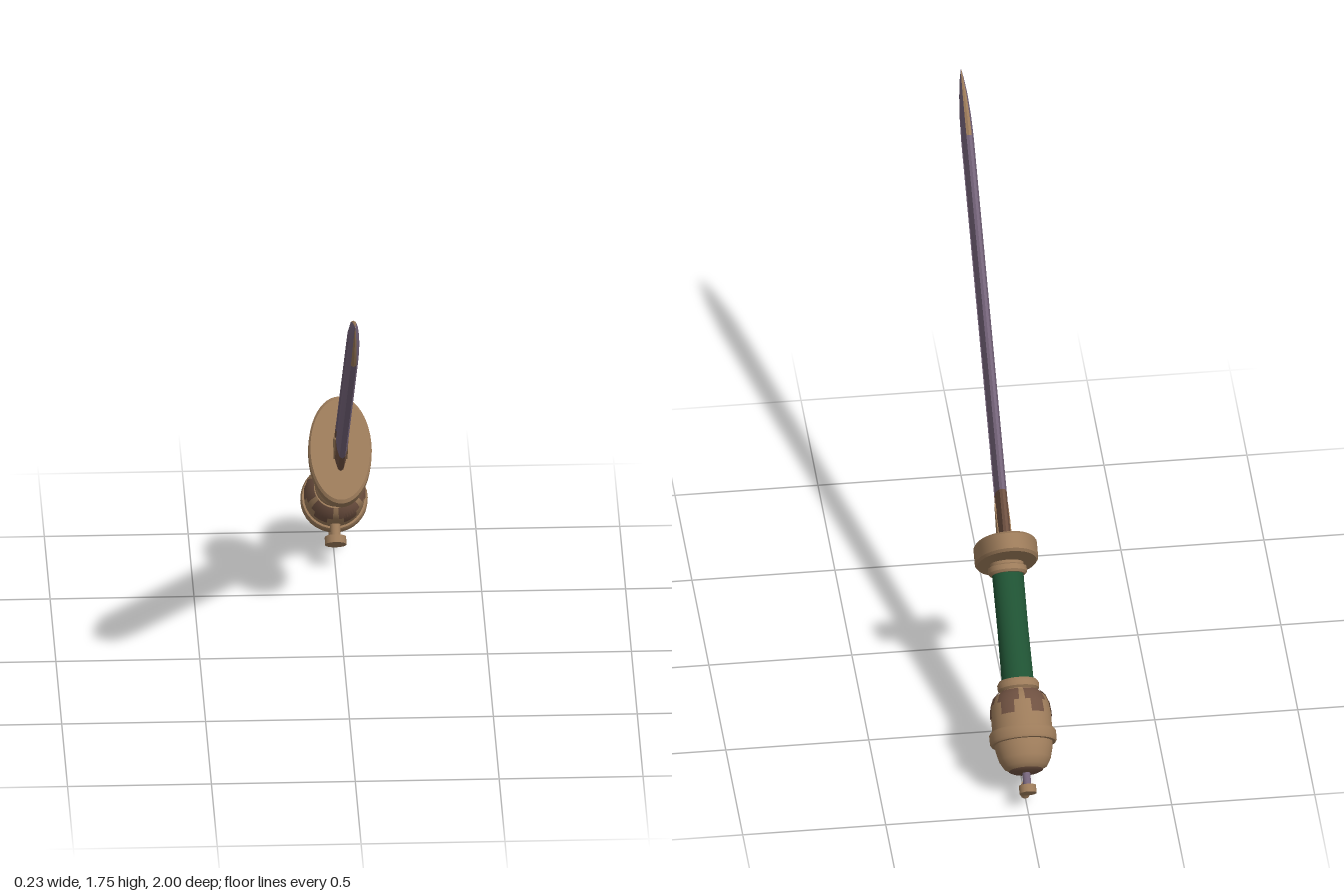
import * as THREE from 'three';
import { toCreasedNormals } from 'three/addons/utils/BufferGeometryUtils.js';

const mat = (name, color, side = THREE.FrontSide) => {
  const m = new THREE.MeshStandardMaterial({ color, side });
  m.name = name;
  return m;
};

export function createModel() {
  const steel = mat('purple steel', 0x75647a);
  const bronze = mat('bronze', 0x9c7b5a);
  const dark = mat('dark bronze', 0x6f5141, THREE.DoubleSide);
  const green = mat('green leather', 0x1f5233);

  // Local frame: y runs along the sword to the tip, z across the blade width.
  const sword = new THREE.Group();
  sword.name = 'sword';
  const add = (name, geo, material) => {
    const m = new THREE.Mesh(geo, material);
    m.name = name;
    sword.add(m);
    return m;
  };
  const lathe = (pts, seg = 32, start = 0, sweep = Math.PI * 2) =>
    new THREE.LatheGeometry(pts.map(p => new THREE.Vector2(p[0], p[1])), seg, start, sweep);
  const turned = (name, pts, material, seg) =>
    add(name, toCreasedNormals(lathe(pts, seg), 0.6), material);

  // Rod between two points in the (y, z) plane
  const rod = (name, a, b, r, material) => {
    const p = new THREE.Vector3(0, ...a), q = new THREE.Vector3(0, ...b);
    const m = add(name, new THREE.CylinderGeometry(r, r, p.distanceTo(q), 14), material);
    m.position.copy(p).add(q).multiplyScalar(0.5);
    m.quaternion.setFromUnitVectors(new THREE.Vector3(0, 1, 0), q.sub(p).normalize());
    return m;
  };

  // Blade cross-section as fractions of thickness and half width, with a groove
  const section = (y, w, t, g) => {
    const side = [[0, -1], [0.45, -0.93], [0.85, -0.6], [1, -0.2], [g, -0.1],
      [g, 0.1], [1, 0.2], [0.85, 0.6], [0.45, 0.93], [0, 1]];
    const back = side.slice(1, -1).reverse().map(([x, z]) => [-x, z]);
    return [...side, ...back].map(([x, z]) => [x * t, y, z * w - 0.006]);
  };
  const loft = (rows, keep = () => true) => {
    const out = [];
    for (let r = 0; r < rows.length - 1; r++) {
      const n = rows[r].length;
      for (let c = 0; c < n; c++) {
        if (!keep(c)) continue;
        const k = (c + 1) % n;
        const a = rows[r][c], b = rows[r][k], d = rows[r + 1][c], e = rows[r + 1][k];
        out.push(...a, ...d, ...b, ...d, ...e, ...b);
      }
    }
    const g = new THREE.BufferGeometry();
    g.setAttribute('position', new THREE.Float32BufferAttribute(out, 3));
    return toCreasedNormals(g, 0.35);
  };

  const ricassoEnd = section(0.21, 0.083, 0.021, 0.5);
  const shoulder = section(1.48, 0.078, 0.021, 0.7);
  add('ricasso', loft([section(0, 0.083, 0.021, 0.5), ricassoEnd]), dark);
  add('blade', loft([ricassoEnd, section(1.38, 0.08, 0.021, 0.5), shoulder]), steel);
  const tipRows = [shoulder, section(1.56, 0.068, 0.019, 1), section(1.64, 0.045, 0.014, 1),
    section(1.7, 0.019, 0.007, 1), section(1.733, 0.001, 0.001, 1)];
  const isEdge = c => [0, 8, 9, 17].includes(c);
  add('bladeTip', loft(tipRows, c => !isEdge(c)), steel);
  add('tipEdge', loft(tipRows, isEdge), bronze);

  // Pointed tongues on both faces of the blade base
  const tongue = new THREE.Shape();
  [[-0.035, 0.03], [0.035, 0.03], [0.025, 0.11], [0, 0.18], [-0.025, 0.11]]
    .forEach(([x, y], i) => (i ? tongue.lineTo(x, y) : tongue.moveTo(x, y)));
  for (const s of [-1, 1]) {
    const g = new THREE.ExtrudeGeometry(tongue, { depth: 0.006, bevelEnabled: false });
    g.translate(0, 0, -0.003).rotateY(Math.PI / 2);
    add('bladeTongue', g, bronze).position.x = s * 0.021;
  }

  // Oval guard with softened rim
  const guard = lathe([[0, -0.036], [0.94, -0.036], [1, -0.027], [1, 0.027], [0.94, 0.036], [0, 0.036]], 48);
  add('guard', toCreasedNormals(guard.scale(0.11, 1, 0.192), 0.6), bronze);
  turned('guardCollar', [[0, -0.078], [0.06, -0.078], [0.068, -0.07], [0.068, -0.052],
    [0.058, -0.046], [0.058, -0.03]], bronze);

  // Grip
  turned('grip', [[0.056, -0.47], [0.054, -0.27], [0.055, -0.07]], green, 24);

  // Pommel: neck rings, rounded body, belt
  turned('neckRing', [[0, -0.515], [0.062, -0.515], [0.062, -0.494], [0.072, -0.487],
    [0.073, -0.47], [0.066, -0.458], [0, -0.456]], bronze);
  const body = [[0, -0.785], [0.045, -0.782], [0.075, -0.766], [0.09, -0.74], [0.1, -0.7], [0.105, -0.65],
    [0.105, -0.58], [0.101, -0.545], [0.09, -0.518], [0.073, -0.502], [0, -0.5]];
  turned('pommel', body, bronze);
  turned('pommelBelt', [[0.1, -0.684], [0.112, -0.683], [0.117, -0.675], [0.117, -0.647],
    [0.112, -0.638], [0.1, -0.637]], bronze);

  // Dark worn patches around the pommel shoulder and end
  const shell = [[0.107, -0.59], [0.1075, -0.58], [0.1035, -0.545], [0.0925, -0.517], [0.075, -0.499]];
  for (let i = 0; i < 6; i++) {
    const a = (i + 0.5) * Math.PI / 3;
    add('shoulderPatch', lathe(shell, 5, a - 0.24, 0.48), dark);
    add('shoulderPatchWide', lathe(shell.slice(2), 8, a - 0.42, 0.84), dark);
  }
  add('endPatch', lathe([[0, -0.788], [0.046, -0.785], [0.06, -0.778]], 20), dark);

  // Side knob on the pommel
  rod('sideKnobStem', [-0.615, 0.09], [-0.62, 0.155], 0.018, bronze);
  rod('sideKnob', [-0.623, 0.146], [-0.623, 0.174], 0.038, bronze);

  // End knob and hanging lever
  rod('endStem', [-0.77, 0], [-0.84, 0], 0.014, steel);
  rod('endKnob', [-0.832, 0], [-0.86, 0], 0.03, bronze);
  rod('leverArm', [-0.8, 0], [-0.817, 0.062], 0.011, steel);
  rod('leverHandle', [-0.815, 0.052], [-0.836, 0.116], 0.016, bronze);

  sword.rotation.x = THREE.MathUtils.degToRad(50);
  sword.position.set(0, 0.637, -0.324);
  const model = new THREE.Group();
  model.name = 'model';
  model.add(sword);
  return model;
}
